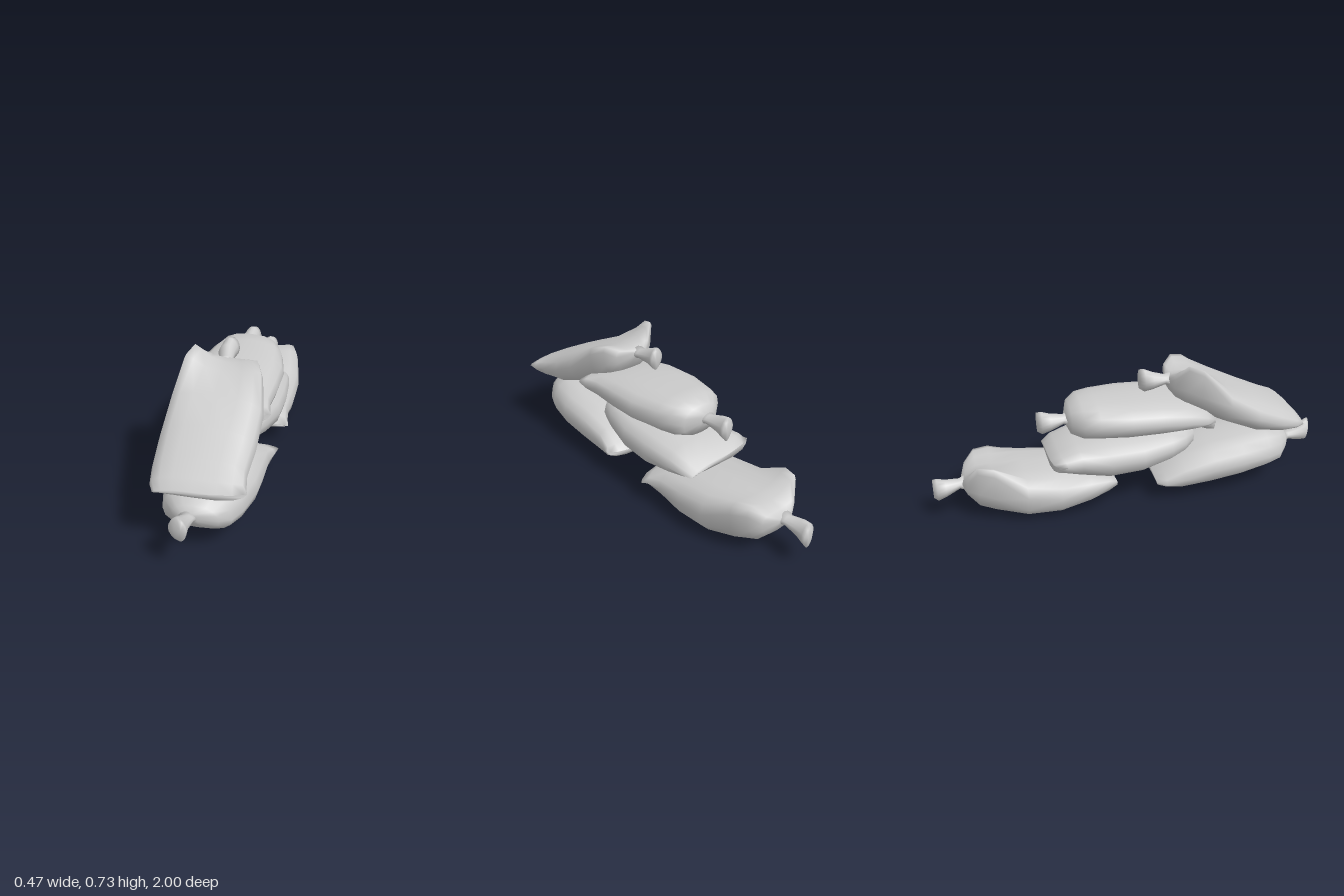
import * as THREE from 'three';

const SIDES = 16;

// Skin through cross-sections laid out along z, capped at both ends. Each section has
// z, x, top, bottom and round (corner power), and pairs [-x side, +x side] for
// width, lift (raises the side seam) and back (shifts the side seam along z).
function loft(sections, name) {
  const pos = [], idx = [];
  const power = (v, p) => Math.sign(v) * Math.abs(v) ** p;
  for (const s of sections) {
    const mid = (s.top + s.bottom) / 2, half = (s.top - s.bottom) / 2;
    for (let j = 0; j < SIDES; j++) {
      const a = (j / SIDES) * Math.PI * 2;
      const c = Math.cos(a), n = Math.sin(a), side = c > 0 ? 1 : 0;
      // The underside follows a raised seam less than the top does
      const pull = n < -0.01 ? 0.6 * Math.abs(c) ** 3 : Math.abs(c) ** 1.8;
      pos.push(
        s.x + power(c, s.round) * s.width[side],
        mid + power(n, s.round) * half + s.lift[side] * pull,
        s.z + s.back[side] * c ** 4
      );
    }
  }
  const forward = sections[sections.length - 1].z > sections[0].z;
  const tri = (a, b, c) => (forward ? idx.push(a, b, c) : idx.push(a, c, b));
  const last = (sections.length - 1) * SIDES;
  for (let i = 0; i < last; i += SIDES) {
    for (let j = 0; j < SIDES; j++) {
      const k = (j + 1) % SIDES;
      tri(i + j, i + k, i + SIDES + k);
      tri(i + j, i + SIDES + k, i + SIDES + j);
    }
  }
  // End caps
  [sections[0], sections[sections.length - 1]].forEach((s, e) => {
    const centre = pos.length / 3;
    pos.push(s.x, (s.top + s.bottom) / 2, s.z);
    for (let j = 0; j < SIDES; j++) {
      const k = (j + 1) % SIDES;
      if (e === 0) tri(centre, k, j);
      else tri(centre, last + j, last + k);
    }
  });
  const g = new THREE.BufferGeometry();
  g.setAttribute('position', new THREE.Float32BufferAttribute(pos, 3));
  g.setIndex(idx);
  g.computeVertexNormals();
  const mesh = new THREE.Mesh(g, new THREE.MeshStandardMaterial({ color: 0xcccccc, side: THREE.DoubleSide }));
  mesh.name = name;
  return mesh;
}

// Shared outline from the sewn end to the tied neck
const ALONG = [0, 0.06, 0.18, 0.38, 0.6, 0.8, 0.9, 0.97, 1];
const NARROW = [0.165, 0.19, 0.207, 0.22, 0.218, 0.185, 0.16, 0.1, 0.06];
const WIDE = [0.235, 0.225, 0.212, 0.22, 0.22, 0.188, 0.155, 0.11, 0.025];
const EAR = [0, 0, 0, 0.02, 0.2, 0.95, 0.95, 0.3, 0];
const TILT = [1, 0.8, 0.4, 0.1, 0, 0, 0, 0, 0];

// ear: lift of the shoulder corners; tilt: roll of the sewn edge; mirror: swap the two sides
function sandbag({ name, sewn, neck, tail, ear, tilt, mirror, tops, bottoms }) {
  const bag = new THREE.Group();
  bag.name = name;
  const pair = (narrow, wide) => (mirror ? [wide, narrow] : [narrow, wide]);
  const dir = Math.sign(neck - sewn);
  bag.add(loft(ALONG.map((t, i) => ({
    z: sewn + (neck - sewn) * t, x: 0, round: 0.8,
    top: tops[i], bottom: bottoms[i],
    width: pair(NARROW[i], WIDE[i]),
    lift: pair(ear[0] * EAR[i] - tilt * TILT[i], ear[1] * EAR[i] + tilt * TILT[i]),
    back: pair(0, 0.035 * dir * TILT[i]),
  })), 'filledSack'));

  // Gathered cloth beyond the tie, pinched to a diamond: [along, x, half width, half height]
  const y0 = (tops[8] + bottoms[8]) / 2;
  const gather = [
    [-0.12, -0.025, 0.05, 0.035], [0.08, -0.025, 0.033, 0.025], [0.55, -0.037, 0.042, 0.045],
    [0.85, -0.032, 0.042, 0.06], [1, -0.015, 0.028, 0.052],
  ];
  bag.add(loft(gather.map(([t, x, w, h]) => {
    const y = y0 + (tail[1] - y0) * t;
    return {
      z: neck + (tail[0] - neck) * t, x: mirror ? -x : x, round: 1.15,
      top: y + h, bottom: y - h, width: [w, w], lift: [0, 0], back: [0, 0],
    };
  }), 'tiedEnd'));
  return bag;
}

const BAGS = [
  { name: 'lowerFrontBag', sewn: 0.11, neck: 0.87, tail: [1, 0.24], ear: [-0.02, -0.03], tilt: 0.02,
    tops: [0.13, 0.165, 0.23, 0.28, 0.3, 0.31, 0.3, 0.26, 0.235],
    bottoms: [0.11, 0.07, 0.04, 0.05, 0.07, 0.09, 0.105, 0.15, 0.185] },
  { name: 'lowerBackBag', sewn: -0.1, neck: -0.86, tail: [-1, 0.165], ear: [0.145, 0.08], tilt: -0.02,
    tops: [0.14, 0.18, 0.215, 0.24, 0.255, 0.26, 0.26, 0.235, 0.2],
    bottoms: [0.11, 0.085, 0.04, 0.002, 0, 0.03, 0.06, 0.12, 0.17] },
  { name: 'middleBag', sewn: -0.43, neck: 0.34, tail: [0.47, 0.335], ear: [0, 0], tilt: 0.025, mirror: true,
    tops: [0.295, 0.335, 0.365, 0.385, 0.39, 0.39, 0.385, 0.37, 0.355],
    bottoms: [0.265, 0.235, 0.2, 0.165, 0.175, 0.21, 0.235, 0.27, 0.315] },
  { name: 'upperBackBag', sewn: 0.41, neck: -0.33, tail: [-0.47, 0.465], ear: [0, 0], tilt: 0.025,
    tops: [0.46, 0.5, 0.53, 0.555, 0.565, 0.57, 0.57, 0.54, 0.5],
    bottoms: [0.43, 0.395, 0.38, 0.375, 0.375, 0.375, 0.375, 0.39, 0.44] },
  { name: 'upperFrontBag', sewn: 0.9, neck: 0.19, tail: [0.05, 0.635], ear: [0.15, 0.085], tilt: 0.015,
    tops: [0.37, 0.41, 0.455, 0.525, 0.595, 0.64, 0.655, 0.655, 0.645],
    bottoms: [0.345, 0.315, 0.303, 0.325, 0.385, 0.45, 0.49, 0.55, 0.6] },
];

export function createModel() {
  const model = new THREE.Group();
  model.name = 'sandbagStack';
  for (const b of BAGS) model.add(sandbag(b));
  return model;
}
